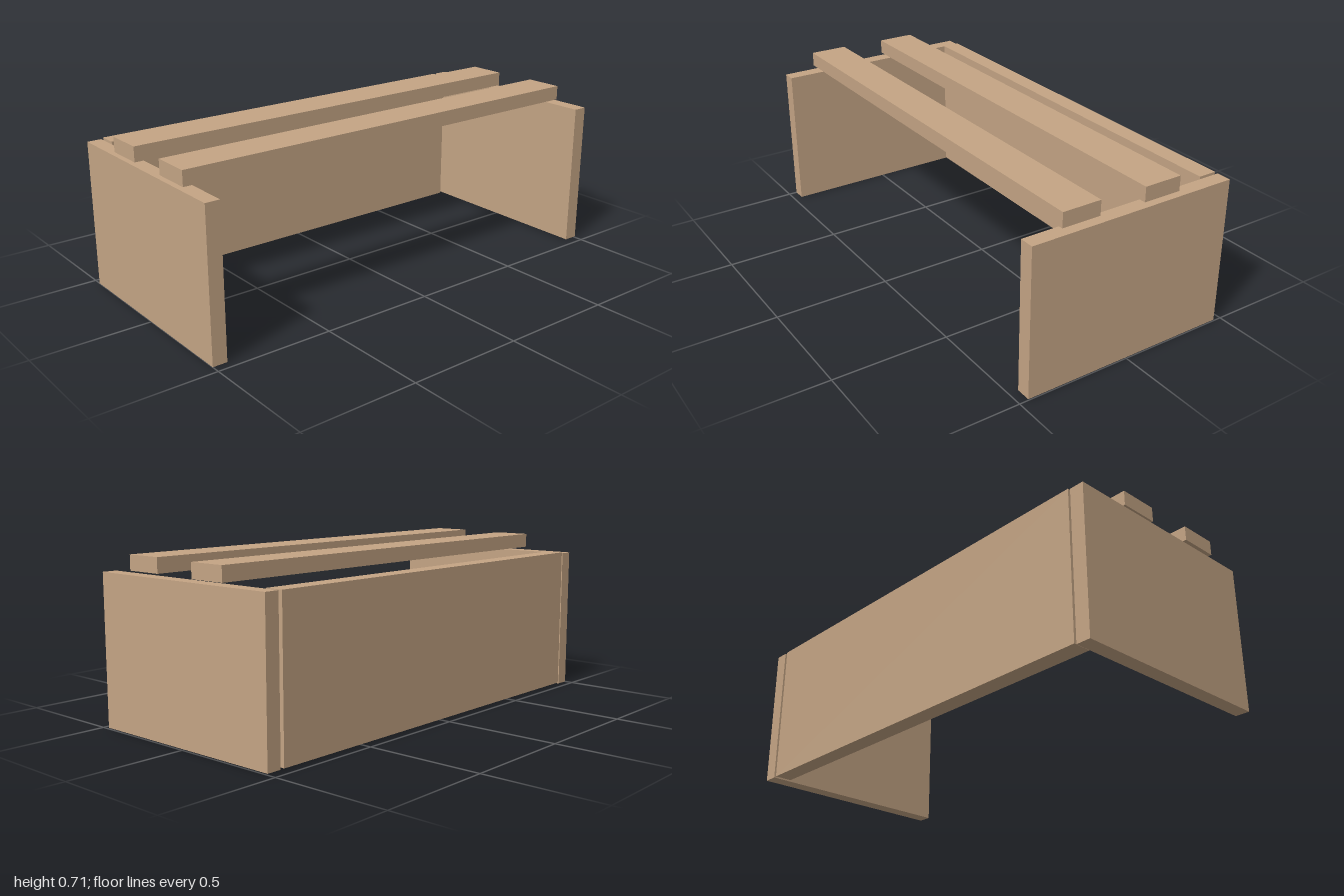
import * as THREE from 'three';

export function createModel() {
  const group = new THREE.Group();
  const wood = new THREE.MeshStandardMaterial({ color: 0xc4a484 });

  // Board spanning the given [min, max] range on each axis
  function board(name, [x0, x1], [y0, y1], [z0, z1]) {
    const mesh = new THREE.Mesh(new THREE.BoxGeometry(x1 - x0, y1 - y0, z1 - z0), wood);
    mesh.position.set((x0 + x1) / 2, (y0 + y1) / 2, (z0 + z1) / 2);
    mesh.name = name;
    group.add(mesh);
  }

  // Upright panels, with small gaps at the corners
  board('rightSidePanel', [-1, -0.938], [0, 0.632], [-0.462, 0.462]);
  board('leftSidePanel', [0.937, 1], [0.005, 0.637], [-0.462, 0.462]);
  board('backPanel', [-0.929, 0.921], [0.006, 0.637], [-0.463, -0.385]);

  // Loose slats floating just above the side panels
  board('frontSlat', [-1, 0.975], [0.65, 0.713], [0.148, 0.316]);
  board('rearSlat', [-0.996, 0.979], [0.646, 0.709], [-0.222, -0.055]);

  return group;
}
